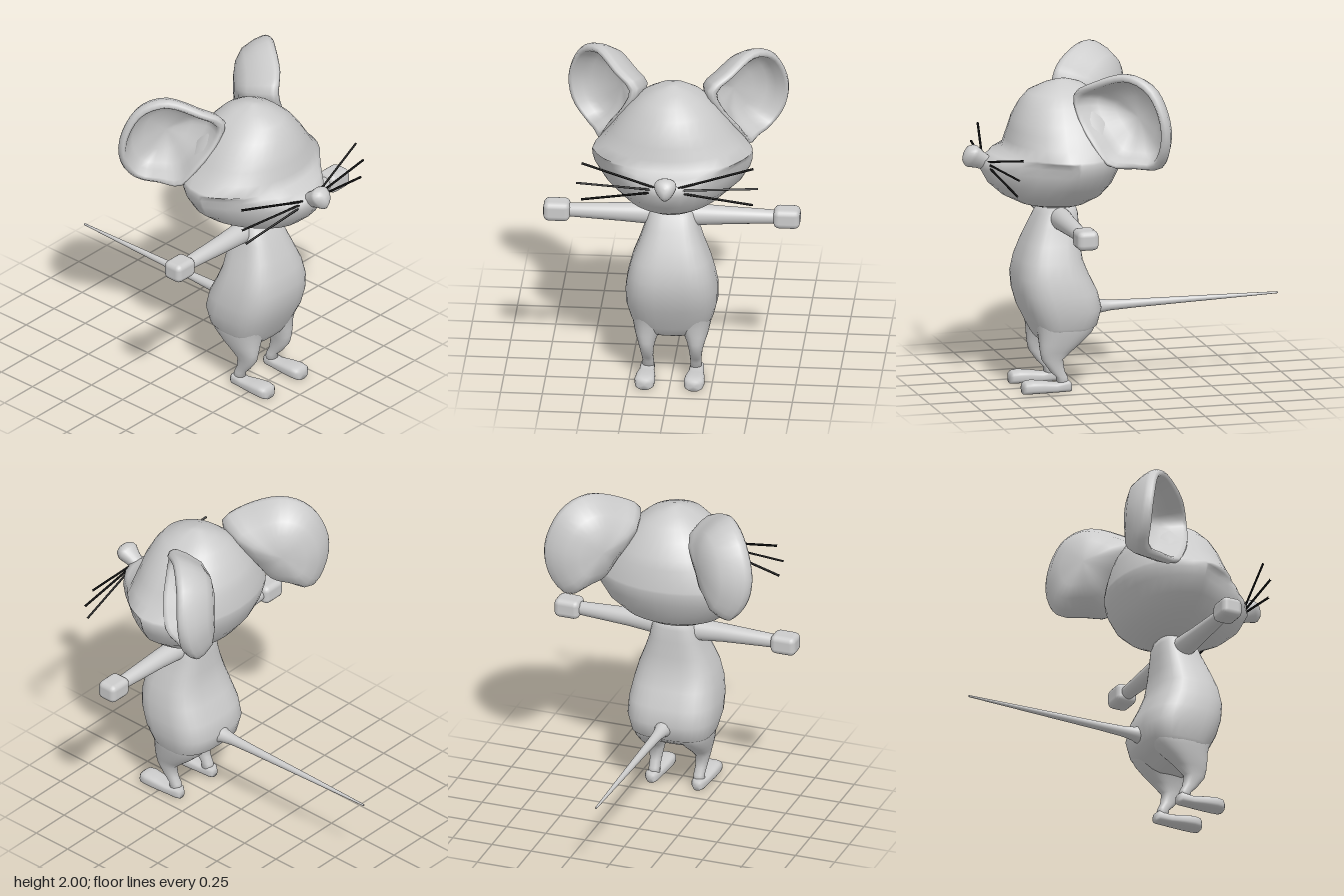
import * as THREE from 'three';
import { RoundedBoxGeometry } from 'three/addons/geometries/RoundedBoxGeometry.js';

const grey = new THREE.MeshStandardMaterial({ color: 0xcccccc });
const black = new THREE.MeshStandardMaterial({ color: 0x111111 });
const N = 32;
const bend = (v, e) => Math.sign(v) * Math.abs(v) ** e;

// One closed ring of points; f receives cosine and sine
function ring(f) {
  return Array.from({ length: N }, (_, i) => {
    const a = (i / N) * Math.PI * 2;
    return new THREE.Vector3(...f(Math.cos(a), Math.sin(a)));
  });
}

// Skin a row of rings, cap both ends, and turn the faces outwards
function loft(rings) {
  const n = rings[0].length;
  const mid = (r) => r.reduce((s, p) => s.add(p), new THREE.Vector3()).divideScalar(n);
  const last = rings.length - 1;
  const pts = [...rings.flat(), mid(rings[0]), mid(rings[last])];
  const idx = [];
  for (let i = 0; i < n; i++) {
    const j = (i + 1) % n;
    for (let k = 0; k < last; k++) {
      const a = k * n + i, b = k * n + j;
      idx.push(a, b, b + n, a, b + n, a + n);
    }
    idx.push(pts.length - 2, j, i, pts.length - 1, last * n + i, last * n + j);
  }
  let volume = 0;
  for (let t = 0; t < idx.length; t += 3) {
    volume += pts[idx[t]].dot(pts[idx[t + 1]].clone().cross(pts[idx[t + 2]]));
  }
  if (volume < 0) idx.reverse();
  const g = new THREE.BufferGeometry().setFromPoints(pts);
  g.setIndex(idx);
  g.computeVertexNormals();
  return g;
}

// Horizontal oval with its own front and back reach; e below 1 squares it off
const oval = (cx, y, rx, z0, z1, e) => ring((c, s) =>
  [cx + rx * bend(s, e), y, (z0 + z1) / 2 + ((z1 - z0) / 2) * bend(c, e)]);

// Round tapering limb through [x, y, z, radius] stations, along x or z
const limb = (stations, axis) => loft(stations.map(([x, y, z, r]) =>
  ring((c, s) => (axis === 'x' ? [x, y + r * c, z + r * s] : [x + r * s, y + r * c, z]))));

export function createModel() {
  const model = new THREE.Group();
  const add = (name, geometry, material = grey) => {
    const mesh = new THREE.Mesh(geometry, material);
    mesh.name = name;
    model.add(mesh);
    return mesh;
  };

  // Pear-shaped, slightly square body: y, half width, back z, front z
  add('body', loft([
    [0.295, 0.12, 0.34, 0.5], [0.315, 0.17, 0.29, 0.525], [0.36, 0.225, 0.22, 0.55],
    [0.4, 0.25, 0.165, 0.57], [0.5, 0.275, 0.14, 0.62], [0.6, 0.275, 0.165, 0.65],
    [0.7, 0.26, 0.215, 0.66], [0.8, 0.235, 0.255, 0.64], [0.9, 0.195, 0.265, 0.605],
    [1.0, 0.16, 0.27, 0.56], [1.08, 0.14, 0.275, 0.52], [1.13, 0.11, 0.29, 0.48],
  ].map(([y, rx, z0, z1]) => oval(0, y, rx, z0, z1, 0.68))));

  // Head with pointed muzzle and brow shelf: y, half width, back z, front z, point
  add('head', loft([
    [1.12, 0.12, 0.29, 0.53, 1], [1.145, 0.2, 0.22, 0.62, 1.1], [1.2, 0.31, 0.13, 0.73, 1.4],
    [1.28, 0.41, 0.07, 0.82, 1.8], [1.37, 0.465, 0.03, 0.87, 2.3], [1.42, 0.48, 0.015, 0.86, 2.4],
    [1.455, 0.482, 0.01, 0.8, 1.8], [1.47, 0.475, 0.01, 0.715, 1.05], [1.53, 0.415, 0.02, 0.7, 1],
    [1.6, 0.365, 0.035, 0.68, 1], [1.66, 0.325, 0.055, 0.665, 1], [1.75, 0.255, 0.11, 0.62, 1],
    [1.815, 0.18, 0.17, 0.57, 1], [1.86, 0.1, 0.24, 0.47, 1], [1.885, 0.025, 0.32, 0.39, 1],
  ].map(([y, rx, z0, z1, p]) => ring((c, s) => [rx * s, y,
    0.37 + (c > 0 ? (z1 - 0.37) * c ** p : (0.37 - z0) * bend(c, y < 1.5 ? 0.92 : 0.72))]))));

  // Knob nose, tilted upwards and narrowing towards its underside
  const noseShape = new THREE.LatheGeometry([
    [0.035, -0.03], [0.045, 0.01], [0.055, 0.06], [0.07, 0.105],
    [0.068, 0.125], [0.05, 0.15], [0.025, 0.16], [0, 0.162],
  ].map(([r, h]) => new THREE.Vector2(r, h)), 20);
  const np = noseShape.attributes.position;
  for (let i = 0; i < np.count; i++) np.setX(i, np.getX(i) * (0.9 - np.getZ(i) * 5));
  noseShape.computeVertexNormals();
  const nose = add('nose', noseShape);
  nose.position.set(0, 1.395, 0.82);
  nose.rotation.x = Math.PI / 2 - 0.48;

  // Thin tail
  add('tail', limb([
    [0, 0.475, 0.22, 0.075], [0, 0.475, 0.165, 0.055], [0, 0.475, 0.13, 0.042],
    [0, 0.476, 0.06, 0.032], [0, 0.478, -0.1, 0.026], [0, 0.483, -0.55, 0.016],
    [0, 0.487, -0.98, 0.006],
  ], 'z'));

  // Ear rim in its own frame: along the ear, height, towards the opening
  const rim = new THREE.CatmullRomCurve3([
    [0, 1.84, 0.02], [0.13, 1.925, 0.04], [0.36, 2.0, 0.01], [0.53, 1.93, 0],
    [0.635, 1.72, 0], [0.62, 1.54, -0.03], [0.53, 1.415, -0.08], [0.4, 1.415, -0.02],
    [0.27, 1.43, 0.06], [0.16, 1.56, 0.08], [0.05, 1.7, 0.05],
  ].map((p) => new THREE.Vector3(...p)), true).getSpacedPoints(36).slice(0, 36);
  // Cup profile from the back, over the thick rim, into the hollow: scale, depth
  const cup = [[0.2, -0.2], [0.5, -0.185], [0.75, -0.145], [0.92, -0.07], [0.99, -0.02],
    [1, 0], [0.97, 0.025], [0.91, 0.04], [0.85, 0.025], [0.79, -0.04], [0.7, -0.09],
    [0.45, -0.135], [0.15, -0.15]];

  for (const s of [1, -1]) {
    const side = s > 0 ? 'left' : 'right';

    add(side + 'Ear', loft(cup.map(([k, d]) => rim.map((p) => {
      const u = 0.35 + (p.x - 0.35) * k;
      const n = p.z * k ** 3 + d;
      return new THREE.Vector3(s * (0.2 + 0.707 * (u + n)), 1.7 + (p.y - 1.7) * k,
        0.33 + 0.707 * (n - u));
    }))));

    add(side + 'Arm', limb([
      [0.05 * s, 1.05, 0.4, 0.07], [0.14 * s, 1.055, 0.4, 0.066],
      [0.3 * s, 1.058, 0.405, 0.056], [0.64 * s, 1.06, 0.405, 0.04],
    ], 'x'));

    const hand = add(side + 'Hand', new RoundedBoxGeometry(0.16, 0.12, 0.132, 2, 0.035));
    hand.position.set(0.69 * s, 1.06, 0.405);

    // Bent leg flowing out of the hip: centre x, y, half width, back z, front z
    add(side + 'Leg', loft([
      [0.125, 0.5, 0.125, 0.18, 0.59], [0.13, 0.42, 0.118, 0.18, 0.56],
      [0.135, 0.36, 0.1, 0.215, 0.545], [0.145, 0.3, 0.076, 0.28, 0.54],
      [0.148, 0.25, 0.056, 0.34, 0.535], [0.147, 0.2, 0.042, 0.395, 0.525],
      [0.145, 0.13, 0.034, 0.385, 0.475], [0.143, 0.09, 0.033, 0.365, 0.435],
      [0.143, 0.04, 0.035, 0.355, 0.43],
    ].map(([x, y, rx, z0, z1]) => oval(x * s, y, rx, z0, z1, 0.85))));

    // Foot: z, half width, height
    add(side + 'Foot', loft([
      [0.345, 0.025, 0.055], [0.365, 0.042, 0.072], [0.44, 0.046, 0.06], [0.52, 0.057, 0.073],
      [0.59, 0.062, 0.08], [0.63, 0.057, 0.075], [0.645, 0.04, 0.062],
    ].map(([z, w, h]) => ring((c, t) =>
      [0.148 * s + w * bend(t, 0.7), (h / 2) * (1 + bend(c, 0.7)), z]))));

    // Three whiskers a side: start height, end x, y, z
    for (const [y0, x, y, z] of [
      [1.42, 0.515, 1.52, 0.737], [1.405, 0.545, 1.405, 0.77], [1.39, 0.515, 1.3, 0.775],
    ]) {
      const path = new THREE.LineCurve3(
        new THREE.Vector3(0.07 * s, y0, 0.835), new THREE.Vector3(x * s, y, z));
      add(side + 'Whisker', new THREE.TubeGeometry(path, 1, 0.007, 6), black);
    }
  }
  return model;
}
